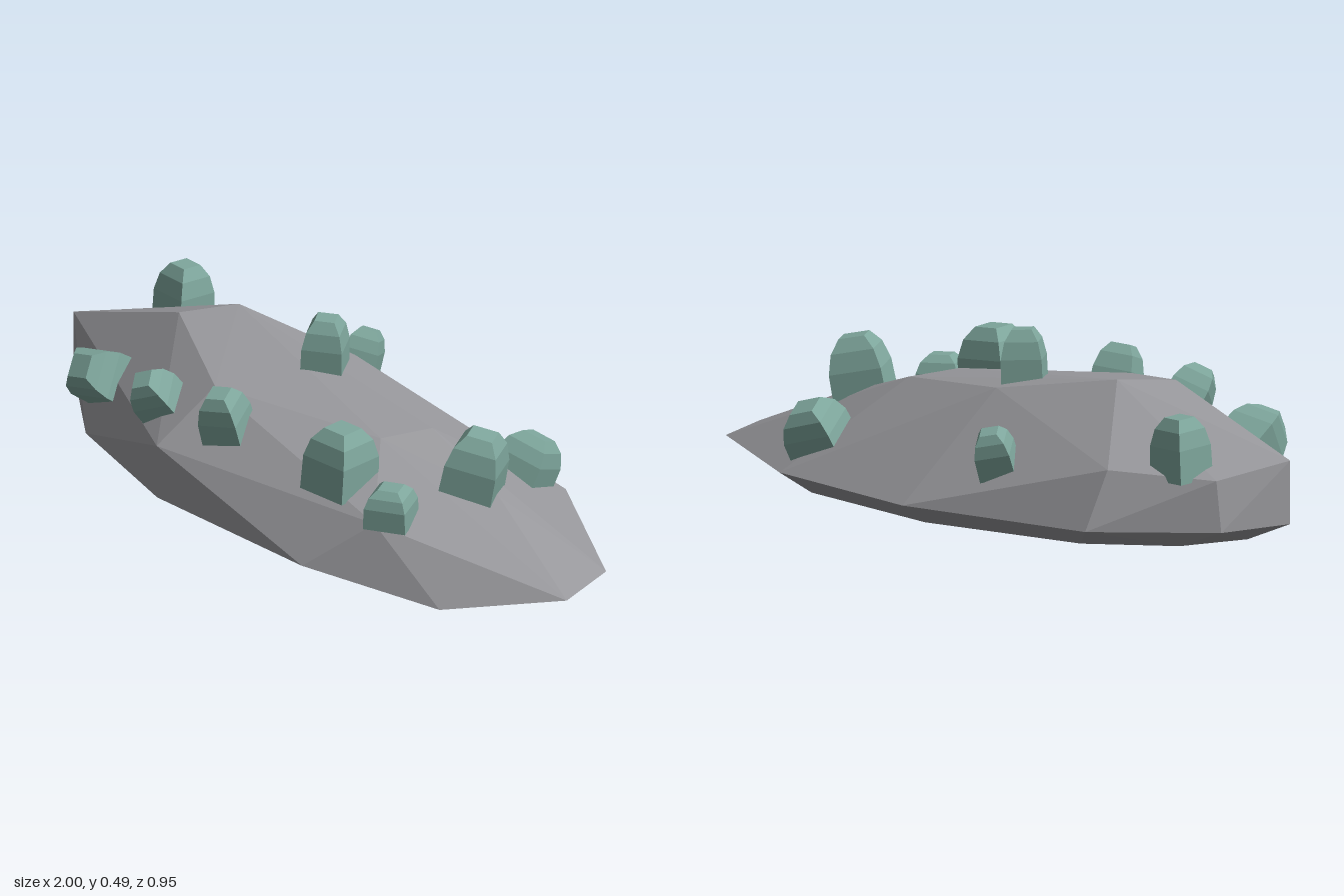
import * as THREE from 'three';
import { ConvexGeometry } from 'three/addons/geometries/ConvexGeometry.js';

const mat = (name, color) => {
  const m = new THREE.MeshStandardMaterial({ color, flatShading: true });
  m.name = name;
  return m;
};

// Faceted slab of rock: underside, rim and crown points wrapped in a convex skin
function makeRock(material) {
  const underside = [
    [-0.87, 0.003, 0.12], [-0.82, 0.003, -0.08], [-0.62, 0.003, -0.26], [-0.12, 0, -0.385],
    [0.38, 0, -0.36], [0.8, 0.003, -0.17], [0.83, 0.004, 0.02], [0.76, 0.008, 0.24],
    [0.32, 0, 0.34], [-0.2, 0, 0.375], [-0.58, 0.003, 0.31],
  ];
  const rim = [
    [-1, 0.06, 0.16], [-0.97, 0.06, -0.06], [-0.72, 0.06, -0.33], [-0.13, 0.06, -0.475],
    [0.42, 0.06, -0.44], [0.91, 0.055, -0.21], [1, 0.055, -0.01],
    [0.38, 0.05, 0.42], [-0.2, 0.058, 0.475], [-0.65, 0.06, 0.38],
  ];
  const crown = [
    [-1, 0.235, 0.16], [-0.95, 0.2, -0.06], [-0.72, 0.22, -0.25],
    [-0.55, 0.39, 0.14], [-0.48, 0.4, -0.01], [-0.2, 0.335, 0.28], [-0.22, 0.2, 0.462],
    [-0.13, 0.34, -0.14], [0.28, 0.3, 0.08], [0.3, 0.295, -0.08],
    [0.52, 0.187, 0.28], [0.6, 0.2, -0.08],
  ];
  const points = [...underside, ...rim, ...crown].map((p) => new THREE.Vector3(...p));
  const rock = new THREE.Mesh(new ConvexGeometry(points), material);
  rock.name = 'rockSlab';
  return rock;
}

// Blunt four-sided crystal with bevelled shoulders, growing along its axis
function makeCrystal({ base, axis, side, height, yaw }, material) {
  const r = side / Math.SQRT2;
  const profile = [[0, -0.1], [1, -0.1], [0.97, 0.5], [0.8, 0.8], [0.48, 1], [0, 1]]
    .map(([x, y]) => new THREE.Vector2(x * r, y * height));
  const geometry = new THREE.LatheGeometry(profile, 4);
  geometry.rotateY(Math.PI / 4 + THREE.MathUtils.degToRad(yaw));
  const crystal = new THREE.Mesh(geometry, material);
  crystal.position.set(...base);
  crystal.quaternion.setFromUnitVectors(
    new THREE.Vector3(0, 1, 0), new THREE.Vector3(...axis).normalize());
  return crystal;
}

export function createModel() {
  const model = new THREE.Group();
  model.name = 'crystalRock';
  const stone = mat('greyStone', 0x98989c);
  const crystalGreen = mat('paleGreenCrystal', 0x7ea69c);

  model.add(makeRock(stone));

  const crystals = [
    { base: [-0.84, 0.21, -0.09], axis: [0, 1, -0.05], side: 0.12, height: 0.155, yaw: 3 },
    { base: [-0.655, 0.19, 0.29], axis: [0.08, 0.55, 0.8], side: 0.135, height: 0.14, yaw: 18 },
    { base: [-0.335, 0.245, 0.345], axis: [0, 0.75, 0.6], side: 0.11, height: 0.13, yaw: 35 },
    { base: [-0.08, 0.245, 0.32], axis: [0.05, 0.95, 0.3], side: 0.115, height: 0.145, yaw: 30 },
    { base: [0.315, 0.225, 0.245], axis: [0.05, 1, -0.03], side: 0.15, height: 0.165, yaw: 12 },
    { base: [0.52, 0.185, 0.225], axis: [0.03, 1, 0.02], side: 0.12, height: 0.098, yaw: 35 },
    { base: [-0.12, 0.33, -0.03], axis: [0.05, 1, 0], side: 0.115, height: 0.157, yaw: 42 },
    { base: [0.52, 0.195, -0.045], axis: [0.15, 1, -0.12], side: 0.15, height: 0.178, yaw: 38 },
    { base: [0.395, 0.115, -0.3], axis: [0.08, 0.88, -0.45], side: 0.145, height: 0.135, yaw: 25 },
    { base: [-0.34, 0.175, -0.31], axis: [-0.05, 0.9, -0.35], side: 0.1, height: 0.115, yaw: 40 },
  ];
  crystals.forEach((spec, i) => {
    const crystal = makeCrystal(spec, crystalGreen);
    crystal.name = `crystal${i + 1}`;
    model.add(crystal);
  });
  return model;
}
